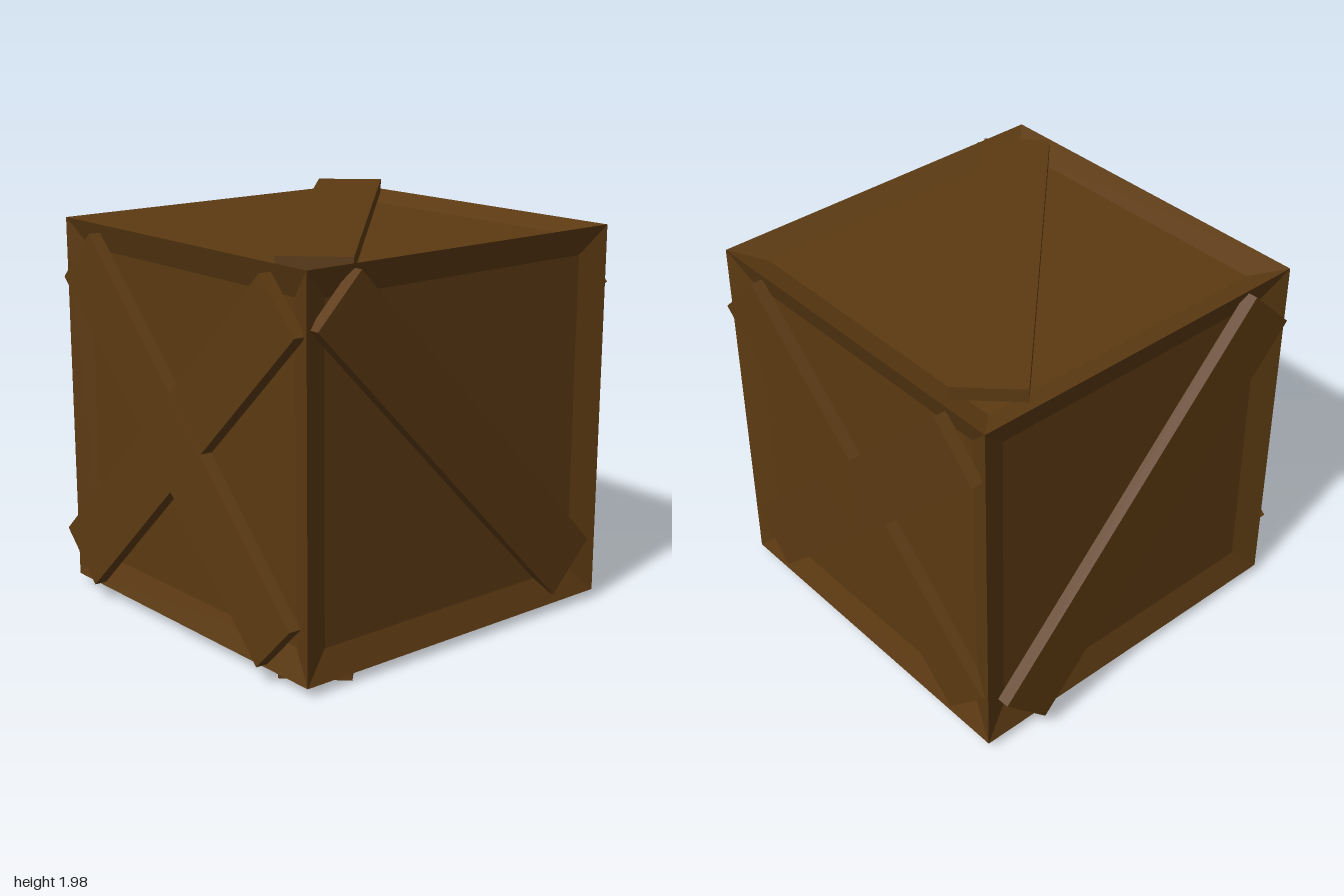
import * as THREE from 'three';

const wood = new THREE.MeshStandardMaterial({ color: 0x5c3a12, flatShading: true });
const CENTER = new THREE.Vector3(0.02, 0.985, -0.02);
const HALF = 0.938, RIM = 0.14, RECESS = 0.05;

// One crate side facing +z: a rim sloping inwards to a recessed panel
function sideGeometry() {
  const ring = (h, z) => [[-h, -h, z], [h, -h, z], [h, h, z], [-h, h, z]];
  const outer = ring(HALF, HALF), inner = ring(HALF - RIM, HALF - RECESS);
  const pos = [];
  const quad = (a, b, c, d) => pos.push(...a, ...b, ...c, ...a, ...c, ...d);
  for (let i = 0; i < 4; i++) {
    const j = (i + 1) % 4;
    quad(outer[i], outer[j], inner[j], inner[i]);
  }
  quad(...inner);
  const geo = new THREE.BufferGeometry();
  geo.setAttribute('position', new THREE.Float32BufferAttribute(pos, 3));
  geo.computeVertexNormals();
  return geo;
}

// Diagonal plank: runs along dir, lies flat on the side with this normal,
// and leans slightly outwards towards the end that dir points to
function plank(name, center, dir, normal) {
  const n = new THREE.Vector3(...normal);
  const x = new THREE.Vector3(...dir).normalize().addScaledVector(n, 0.017).normalize();
  const y = new THREE.Vector3().crossVectors(n, x).normalize();
  const z = new THREE.Vector3().crossVectors(x, y);
  const mesh = new THREE.Mesh(new THREE.BoxGeometry(2.21, 0.34, 0.065), wood);
  mesh.name = name;
  mesh.quaternion.setFromRotationMatrix(new THREE.Matrix4().makeBasis(x, y, z));
  mesh.position.set(...center);
  return mesh;
}

export function createModel() {
  const model = new THREE.Group();
  model.name = 'woodenCrate';

  // Crate body
  const body = new THREE.Group();
  body.name = 'crateBody';
  const geo = sideGeometry();
  const turns = {
    frontSide: [0, 0], leftSide: [0, Math.PI / 2], backSide: [0, Math.PI],
    rightSide: [0, -Math.PI / 2], topSide: [-Math.PI / 2, 0], bottomSide: [Math.PI / 2, 0],
  };
  for (const [name, [rx, ry]] of Object.entries(turns)) {
    const side = new THREE.Mesh(geo, wood);
    side.name = name;
    side.rotation.set(rx, ry, 0);
    body.add(side);
  }
  body.position.copy(CENTER);
  model.add(body);

  // Crossed planks on front and back
  for (const s of [-1, 1]) {
    model.add(
      plank('frontPlank', [0.027, 0.982, 0.95], [s, -0.985, 0], [0, 0, 1]),
      plank('backPlank', [0.027, 0.982, -0.95], [s, 0.985, 0], [0, 0, -1]),
    );
  }

  // Single diagonal planks on the other sides
  model.add(
    plank('leftPlank', [0.945, 0.997, -0.01], [0, 1, 0.99], [1, 0, 0]),
    plank('rightPlank', [-0.945, 0.997, -0.01], [0, -1, -0.99], [-1, 0, 0]),
    plank('topPlank', [0.035, 1.932, -0.015], [-1, 0, -0.99], [0, 1, 0]),
    plank('bottomPlank', [0.035, 0.052, -0.015], [1, 0, 0.99], [0, -1, 0]),
  );
  return model;
}
